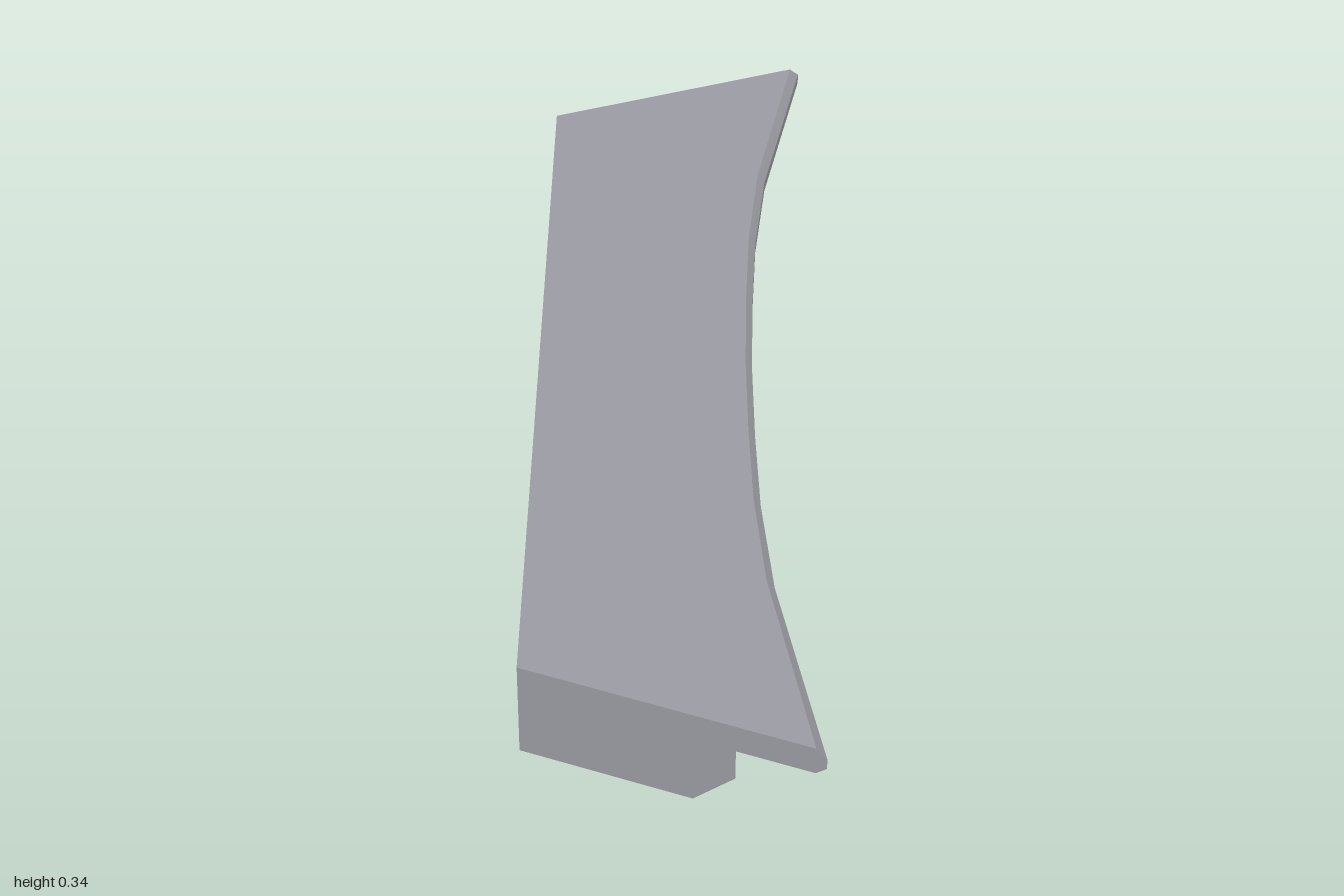
import * as THREE from 'three';
import { toCreasedNormals } from 'three/addons/utils/BufferGeometryUtils.js';

const BACK = -0.23;
// Both ends are cut on a slant that widens toward +x.
const endZ = (x) => 0.8135 + 0.407 * (x - BACK);

// Lofts convex counter-clockwise [x, y] sections along z; the first and last follow the slanted ends.
function loft(stations, section) {
  const last = stations.length - 1;
  const rings = stations.map((z, i) =>
    section(z).map(([x, y]) => [x, y, i === 0 ? -endZ(x) : i === last ? endZ(x) : z]));
  const pos = [];
  const tri = (a, b, c) => pos.push(...a, ...b, ...c);
  const n = rings[0].length;
  for (let i = 0; i < last; i++) {
    for (let j = 0; j < n; j++) {
      const k = (j + 1) % n;
      tri(rings[i][j], rings[i][k], rings[i + 1][k]);
      tri(rings[i][j], rings[i + 1][k], rings[i + 1][j]);
    }
  }
  for (let j = 1; j < n - 1; j++) {
    tri(rings[0][0], rings[0][j + 1], rings[0][j]);
    tri(rings[last][0], rings[last][j], rings[last][j + 1]);
  }
  const geo = new THREE.BufferGeometry();
  geo.setAttribute('position', new THREE.Float32BufferAttribute(pos, 3));
  return toCreasedNormals(geo, 0.35);
}

// Mirrors a list of positive z stations across the centre.
const mirrored = (zs) => [...zs.map((z) => -z).reverse(), ...zs];

export function createModel() {
  const model = new THREE.Group();
  model.name = 'ledge';
  const material = new THREE.MeshStandardMaterial({ color: 0x9b9ba3 });
  const add = (name, geometry) => {
    const mesh = new THREE.Mesh(geometry, material);
    mesh.name = name;
    model.add(mesh);
  };

  // Top slab with a concave, chamfered front edge
  const edge = { 0: 0.13, 0.2: 0.133, 0.39: 0.14, 0.6: 0.159, 1: 0.229 };
  add('topSlab', loft([-1, -0.6, -0.39, -0.2, 0, 0.2, 0.39, 0.6, 1], (z) => {
    const e = edge[Math.abs(z)];
    const inset = e - 0.011 - 0.005 * z * z;
    return [[BACK, 0.289], [inset, 0.289], [e, 0.303], [e, 0.321], [inset, 0.336], [BACK, 0.336]];
  }));

  // Supporting beam, chamfered below, whose underside flares down into two pointed brackets
  const bracketZ = 0.478;
  const drops = [[0, 0.173], [0.057, 0.073], [0.115, 0]]; // distance from the point, depth
  const zs = [-0.115, -0.057, 0, 0.057, 0.115].map((d) => bracketZ + d);
  add('beamWithBrackets', loft(mirrored([...zs, 1]), (z) => {
    const d = Math.abs(Math.abs(z) - bracketZ);
    const hit = drops.find(([w]) => Math.abs(w - d) < 1e-4);
    const drop = hit ? hit[1] : 0;
    return [[BACK, 0.173 - drop], [0.034, 0.173 - drop], [0.097, 0.236 - drop], [0.097, 0.289], [BACK, 0.289]];
  }));

  return model;
}
